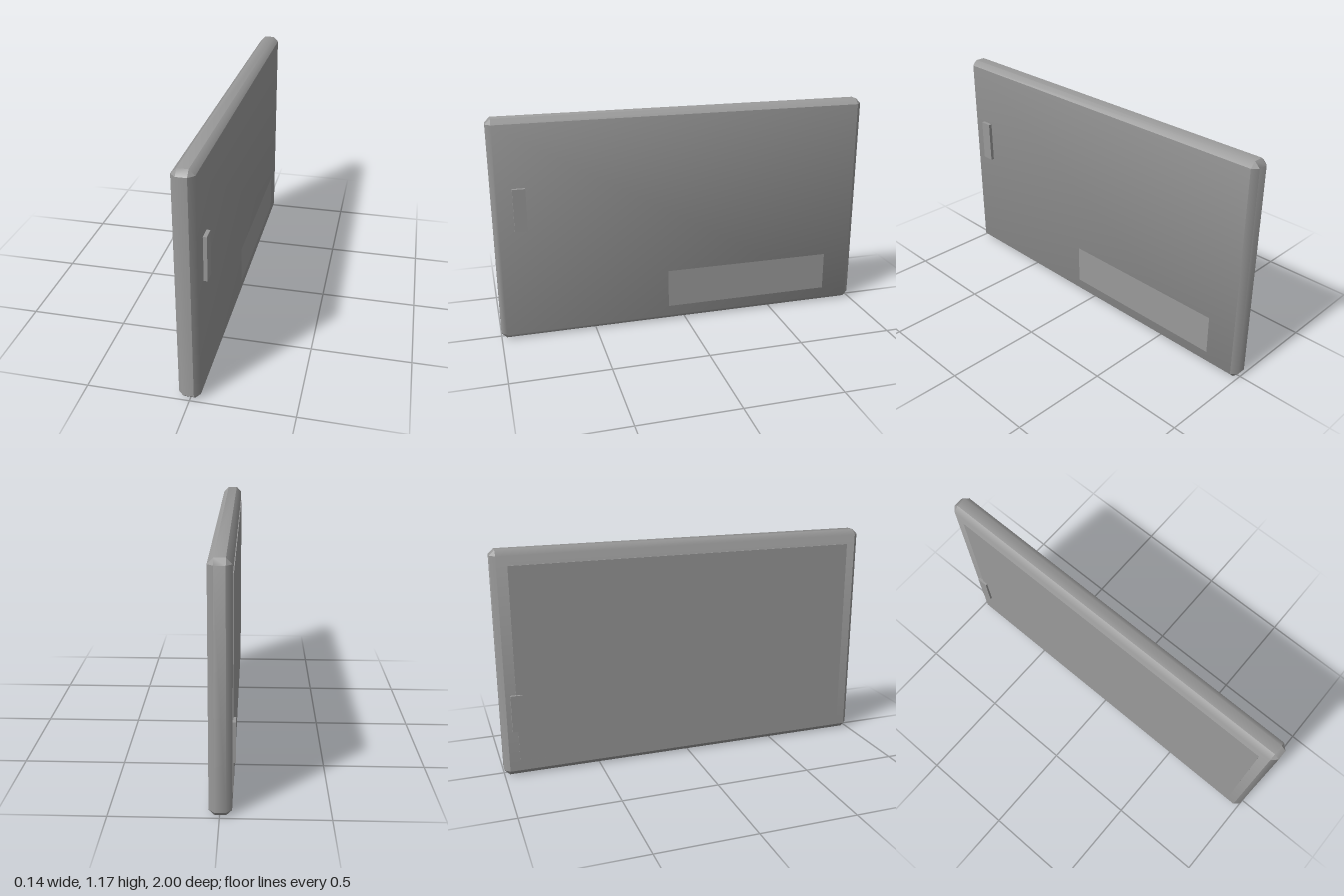
import * as THREE from 'three';
import { mergeGeometries, toCreasedNormals } from 'three/addons/utils/BufferGeometryUtils.js';
import { ConvexGeometry } from 'three/addons/geometries/ConvexGeometry.js';

const grey = new THREE.MeshStandardMaterial({ color: 0x999999 });

// Which flat side each bevel blends into; directions are the signs of x, y, z
const bevelOwner = {
  '1,0,1': '1,0,0', '1,-1,0': '1,0,0', '1,1,0': '0,1,0', '1,0,-1': '0,0,-1',
  '-1,1,0': '-1,0,0', '-1,0,-1': '0,0,-1', '-1,0,1': '0,0,1', '-1,-1,0': '0,-1,0',
  '0,1,1': '0,1,0', '0,-1,1': '0,-1,0', '0,1,-1': '0,0,-1', '0,-1,-1': '0,-1,0',
};

// Box given by its min and max corners
function box(name, min, max) {
  const size = max.map((v, i) => v - min[i]);
  const mesh = new THREE.Mesh(new THREE.BoxGeometry(...size), grey);
  mesh.position.set(...max.map((v, i) => (v + min[i]) / 2));
  mesh.name = name;
  return mesh;
}

// Box with every edge cut by a bevel b and small triangular corners
function chamferedBox(w, h, d, b) {
  const points = [];
  for (const sx of [-1, 1]) for (const sy of [-1, 1]) for (const sz of [-1, 1]) {
    for (let axis = 0; axis < 3; axis++) {
      const inset = [0, 1, 2].map((i) => (i === axis ? 0 : b));
      points.push(new THREE.Vector3(
        sx * (w / 2 - inset[0]), sy * (h / 2 - inset[1]), sz * (d / 2 - inset[2])));
    }
  }
  return points;
}

// Convex hull, smooth inside each side-plus-bevels group and sharp between groups
function blendedHull(points) {
  const hull = new ConvexGeometry(points);
  const position = hull.attributes.position.array;
  const normal = hull.attributes.normal.array;
  const groups = {};
  for (let i = 0; i < position.length; i += 9) {
    const direction = [0, 1, 2].map((k) => Math.round(normal[i + k] * 1.2) || 0).join(',');
    const key = bevelOwner[direction] ?? direction;
    (groups[key] ??= []).push(...position.slice(i, i + 9));
  }
  return mergeGeometries(Object.values(groups).map((corners) => {
    const part = new THREE.BufferGeometry();
    part.setAttribute('position', new THREE.Float32BufferAttribute(corners, 3));
    return toCreasedNormals(part, Math.PI / 3);
  }));
}

export function createModel() {
  const group = new THREE.Group();
  group.name = 'slimPanel';

  // Main slab
  const body = new THREE.Mesh(blendedHull(chamferedBox(0.105, 1.174, 2, 0.027)), grey);
  body.position.set(-0.0035, 0.587, 0);
  body.name = 'body';
  group.add(body);

  // Thin raised screen and its button on the right side
  group.add(box('screen', [-0.06, 0.083, -0.92], [-0.05, 1.098, 0.925]));
  group.add(box('screenButton', [-0.071, 0.248, -0.949], [-0.056, 0.441, -0.89]));

  // Pull tab, held just off the left side
  group.add(box('pullTab', [0.053, 0.6, 0.831], [0.071, 0.823, 0.896]));

  // Flat plate on the left side
  const plate = new THREE.Mesh(new THREE.PlaneGeometry(0.92, 0.208), grey);
  plate.rotation.y = Math.PI / 2;
  plate.position.set(0.052, 0.186, -0.364);
  plate.name = 'plate';
  group.add(plate);

  return group;
}
